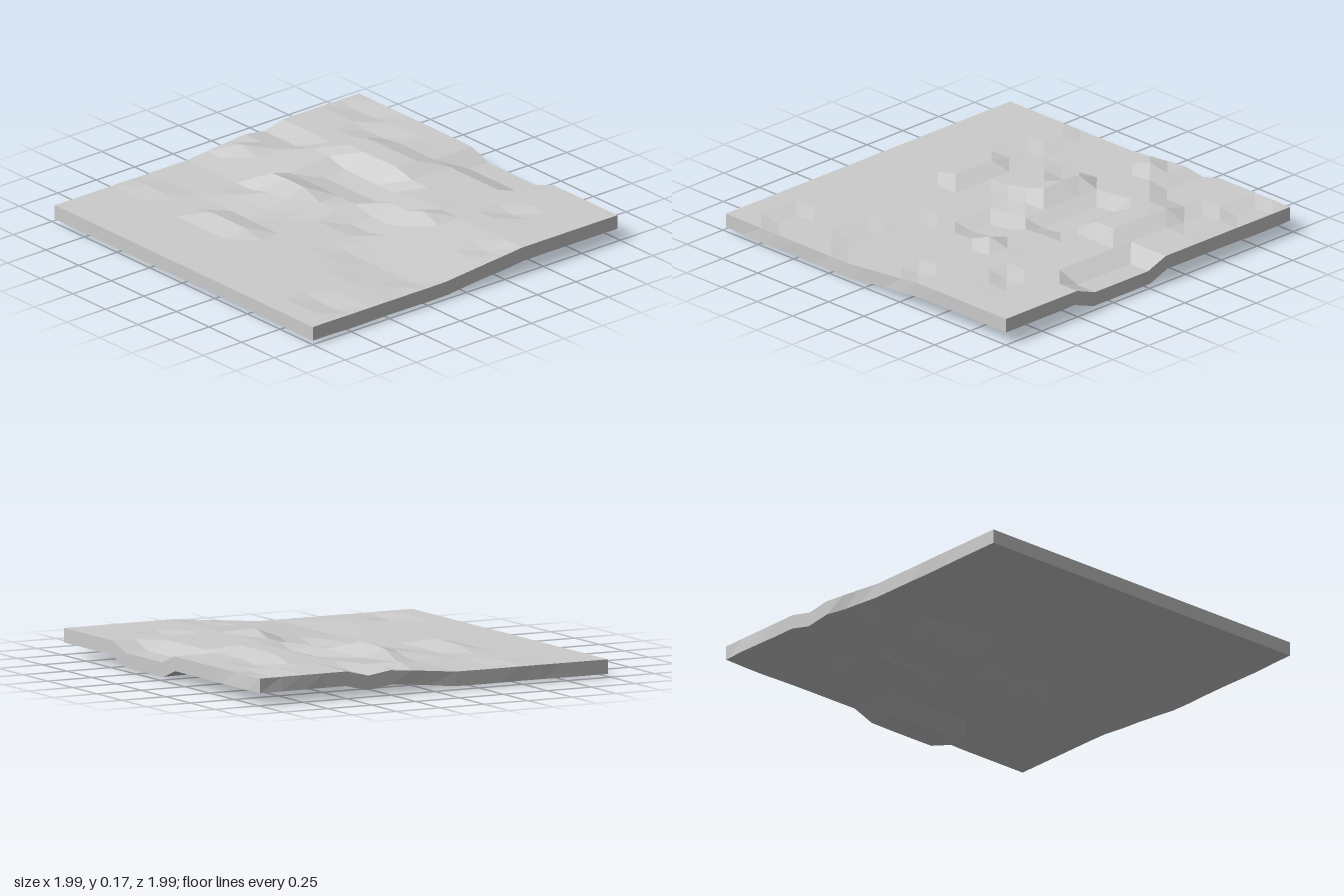
import * as THREE from 'three';

const N = 16, SIZE = 1.98, THICK = 0.073, CELL = SIZE / N;

// Flat-topped bumps and dips: x range, z range, height; each fades over one cell
const features = [
  // left ridge stepping down to the front
  [-0.48, -0.22, 0, 0, 0.055], [-0.38, -0.22, 0.124, 0.124, 0.03], [-0.5, -0.25, 0.25, 0.25, 0.01],
  // low mound at the front left
  [-0.38, -0.12, 0.5, 0.5, 0.03], [-0.87, -0.75, 0.5, 0.5, 0.01],
  // terrace at the back, with the hollow before it
  [-0.48, -0.12, -0.62, -0.5, 0.031], [-0.37, 0, -0.37, -0.25, -0.032],
  // knolls
  [0.37, 0.37, -0.25, -0.25, 0.037], [-0.87, -0.87, -0.12, -0.12, 0.032],
  // hollows
  [0.12, 0.25, -0.12, 0, -0.028], [-1, -0.75, -0.37, -0.37, -0.03],
  [0, 0.37, -1, -0.87, -0.045], [-0.87, -0.75, -0.87, -0.87, -0.015],
  [0.62, 0.62, -0.62, -0.62, -0.018], [0.87, 0.87, -0.25, -0.25, -0.015],
  [-0.62, -0.5, -0.75, -0.75, -0.014], [0.4, 0.87, 0.25, 0.25, -0.01],
  // pit at the front right
  [0.74, 0.87, 0.74, 0.74, -0.014], [0.62, 0.74, 0.37, 0.37, -0.006],
];

// Low front plain rising to a higher back
const slope = (z) => 0.085 + 0.046 * THREE.MathUtils.clamp((0.13 - z) / 0.5, 0, 1);

function height(x, z) {
  let y = slope(z);
  for (const [x0, x1, z0, z1, h] of features) {
    const dx = Math.max(x0 - x, x - x1, 0), dz = Math.max(z0 - z, z - z1, 0);
    y += h * Math.max(0, 1 - Math.max(dx, dz) / CELL);
  }
  return Math.min(y, 0.162);
}

export function createModel() {
  const group = new THREE.Group();
  group.name = 'terrainSlab';
  const material = new THREE.MeshStandardMaterial({ color: 0xcccccc, flatShading: true });

  // Top surface
  const top = new THREE.PlaneGeometry(SIZE, SIZE, N, N).rotateX(-Math.PI / 2);
  const p = top.attributes.position;
  for (let i = 0; i < p.count; i++) p.setY(i, height(p.getX(i), p.getZ(i)));
  top.computeVertexNormals();

  // Underside: top pushed in along its normals, winding reversed
  const bottom = top.clone();
  const q = bottom.attributes.position, n = top.attributes.normal;
  for (let i = 0; i < q.count; i++) {
    q.setXYZ(i, p.getX(i) - n.getX(i) * THICK, p.getY(i) - n.getY(i) * THICK, p.getZ(i) - n.getZ(i) * THICK);
  }
  bottom.setIndex([...top.index.array].reverse());
  bottom.computeVertexNormals();

  // Rim joining the two around the outline (front, right, back, left)
  const loop = [], id = (c, r) => r * (N + 1) + c;
  for (let k = 0; k < N; k++) loop.push(id(k, N));
  for (let k = 0; k < N; k++) loop.push(id(N, N - k));
  for (let k = 0; k < N; k++) loop.push(id(N - k, 0));
  for (let k = 0; k < N; k++) loop.push(id(0, k));
  const verts = [], at = (a, i) => verts.push(a.getX(i), a.getY(i), a.getZ(i));
  loop.forEach((a, k) => {
    const b = loop[(k + 1) % loop.length];
    at(q, a); at(q, b); at(p, b);
    at(q, a); at(p, b); at(p, a);
  });
  const rim = new THREE.BufferGeometry();
  rim.setAttribute('position', new THREE.Float32BufferAttribute(verts, 3));
  rim.computeVertexNormals();

  for (const [name, geometry] of [['groundSurface', top], ['underside', bottom], ['rim', rim]]) {
    const mesh = new THREE.Mesh(geometry, material);
    mesh.name = name;
    group.add(mesh);
  }

  // Rest the lowest point on the floor
  group.position.y = -new THREE.Box3().setFromObject(group).min.y;
  return group;
}
